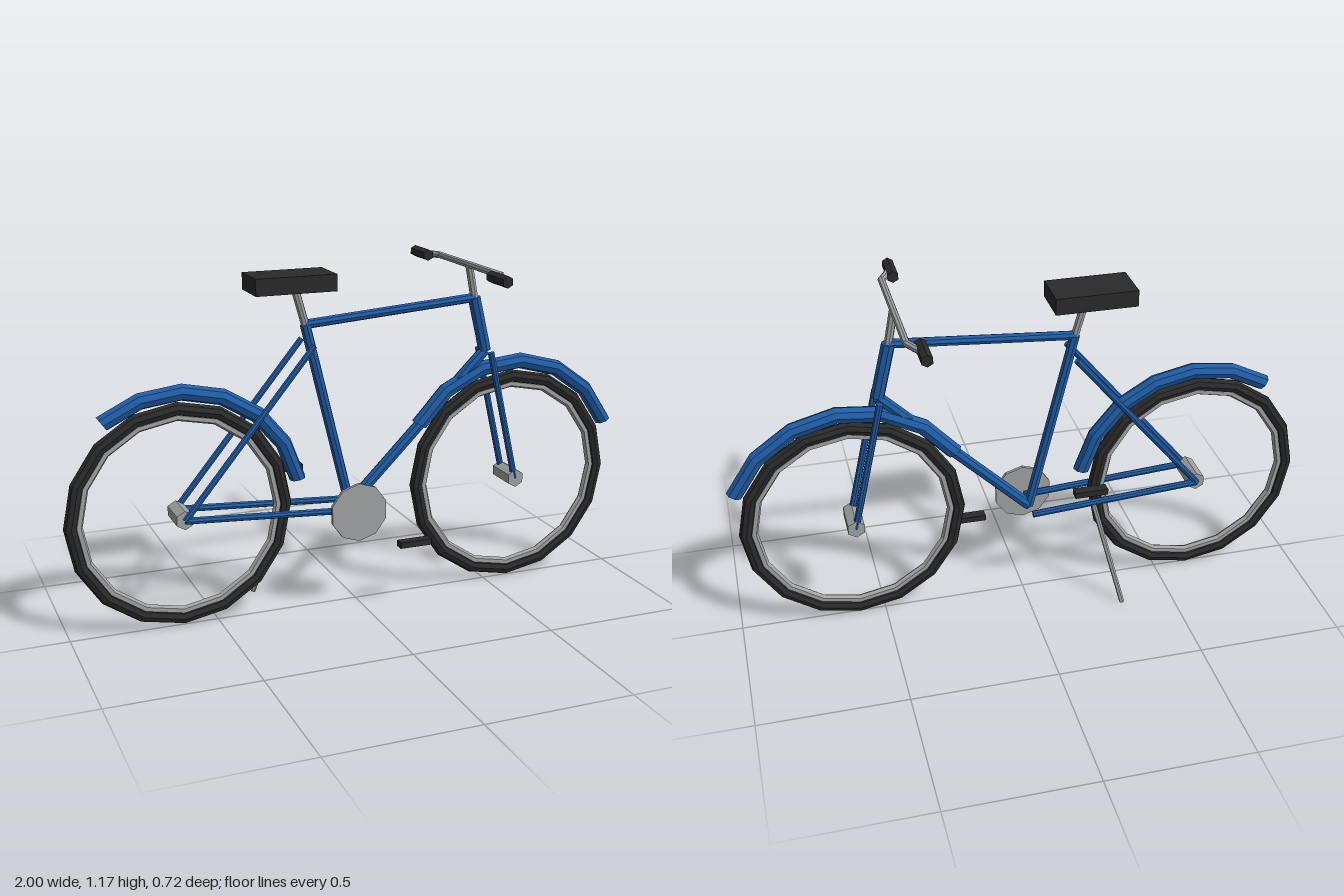
import * as THREE from 'three';

function material(name, color, side = THREE.FrontSide) {
  const m = new THREE.MeshStandardMaterial({ color, side, flatShading: true });
  m.name = name;
  return m;
}

export function createModel() {
  const bike = new THREE.Group();
  bike.name = 'bicycle';

  const blue = material('frame blue', 0x1f5ca5, THREE.DoubleSide);
  const black = material('rubber black', 0x2a2a2a);
  const grey = material('metal grey', 0xa0a2a4);

  const add = (name, geometry, mat, x = 0, y = 0, z = 0) => {
    const mesh = new THREE.Mesh(geometry, mat);
    mesh.name = name;
    mesh.position.set(x, y, z);
    bike.add(mesh);
    return mesh;
  };

  // Straight tube between two points
  const tube = (name, from, to, radius, mat, sides = 8) => {
    const a = new THREE.Vector3(...from);
    const b = new THREE.Vector3(...to);
    const dir = b.clone().sub(a);
    const mesh = add(name, new THREE.CylinderGeometry(radius, radius, dir.length(), sides), mat);
    mesh.position.copy(a).add(b).multiplyScalar(0.5);
    mesh.quaternion.setFromUnitVectors(new THREE.Vector3(0, 1, 0), dir.normalize());
    return mesh;
  };

  const axleY = 0.392;
  const rearX = -0.617;
  const frontX = 0.588;

  // Wheels with rim, hub and fender; fender angles in degrees
  const wheels = [
    { name: 'rear', x: rearX, start: 11, sweep: 115 },
    { name: 'front', x: frontX, start: 23, sweep: 125 },
  ];
  for (const { name, x, start, sweep } of wheels) {
    add(`${name}Tyre`, new THREE.TorusGeometry(0.361, 0.023, 8, 16), black, x, axleY);
    add(`${name}Rim`, new THREE.TorusGeometry(0.335, 0.014, 6, 16), grey, x, axleY);
    add(`${name}Hub`, new THREE.CylinderGeometry(0.032, 0.032, 0.12, 6).rotateX(Math.PI / 2), grey, x, axleY);
    const fender = new THREE.TorusGeometry(0.415, 0.028, 8, 6, THREE.MathUtils.degToRad(sweep));
    fender.rotateZ(THREE.MathUtils.degToRad(start));
    add(`${name}Fender`, fender, blue, x, axleY);
  }

  // Main frame
  const bottomBracket = [-0.022, 0.354, 0];
  const seatTop = [-0.177, 0.995, 0];
  const headTop = [0.437, 1.042, 0];
  const headBottom = [0.482, 0.855, 0];
  tube('seatTube', bottomBracket, seatTop, 0.018, blue);
  tube('topTube', seatTop, headTop, 0.016, blue);
  tube('downTube', bottomBracket, headBottom, 0.02, blue);
  tube('headTube', headBottom, headTop, 0.023, blue);

  // Paired stays and fork blades
  for (const side of [-1, 1]) {
    const z = side * 0.063;
    tube('seatStay', [rearX, axleY, z], [-0.168, 0.935, z], 0.011, blue);
    tube('chainStay', [rearX, axleY, z], [-0.022, 0.354, z], 0.012, blue);
    tube('forkBlade', [frontX, axleY, side * 0.05], [0.482, 0.855, side * 0.05], 0.012, blue);
  }

  // Saddle on its post
  tube('seatPost', seatTop, [-0.215, 1.13, 0], 0.014, grey);
  add('saddle', new THREE.BoxGeometry(0.275, 0.056, 0.147), black, -0.229, 1.139);

  // Stem, handlebar and grips
  const barY = 1.156;
  tube('stem', headTop, [0.415, barY, 0], 0.014, grey);
  tube('handlebar', [0.415, barY, -0.235], [0.415, barY, 0.235], 0.012, grey);
  for (const side of [-1, 1]) {
    tube('handlebarBend', [0.415, barY, side * 0.23], [0.375, barY, side * 0.305], 0.012, grey);
    tube('grip', [0.375, barY, side * 0.242], [0.375, barY, side * 0.358], 0.02, black, 6);
  }

  // Chainring and pedals
  add('chainring', new THREE.CylinderGeometry(0.102, 0.102, 0.012, 10).rotateX(Math.PI / 2), grey, -0.022, 0.354, 0.088);
  for (const side of [-1, 1]) {
    add('pedal', new THREE.BoxGeometry(0.114, 0.021, 0.034), black,
      -0.021 + side * 0.183, 0.352 - side * 0.115, side * 0.138);
  }

  // Kickstand
  tube('kickstand', [-0.238, 0.365, -0.065], [-0.318, 0.008, -0.184], 0.009, grey, 6);

  return bike;
}
